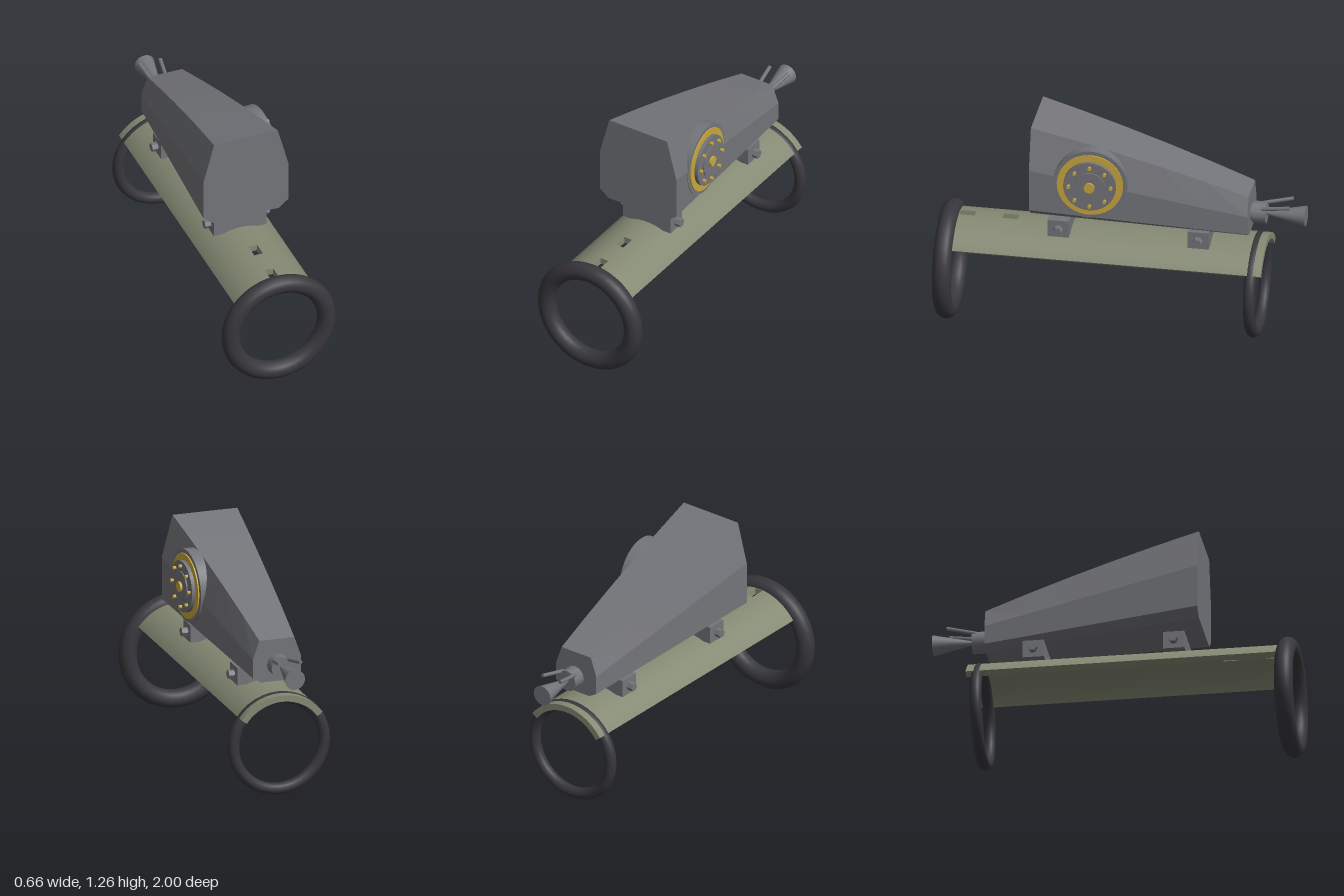
import * as THREE from 'three';

const mat = (name, color) => {
  const m = new THREE.MeshStandardMaterial({ color });
  m.name = name;
  return m;
};

export function createModel() {
  const model = new THREE.Group();
  const grey = mat('steel grey', 0x74757a);
  const dark = mat('dark rubber', 0x38373c);
  const olive = mat('olive metal', 0x848973);
  const gold = mat('brass', 0xc8a83e);

  const add = (name, geo, material, x = 0, y = 0, z = 0, parent = model) => {
    const mesh = new THREE.Mesh(geo, material);
    mesh.name = name;
    mesh.position.set(x, y, z);
    parent.add(mesh);
    return mesh;
  };

  // End rings
  const axisY = 0.335;
  add('frontRing', new THREE.TorusGeometry(0.277, 0.051, 14, 40), dark, 0, axisY, 0.949);
  add('rearRing', new THREE.TorusGeometry(0.259, 0.032, 14, 40), dark, 0, axisY, -0.732);

  // Curved trough between the rings, pieced around two slots on its crown
  const trough = new THREE.Group();
  trough.name = 'curvedTrough';
  trough.position.y = axisY;
  model.add(trough);
  const plate = (a0, a1, z0, z1) => {
    const s = new THREE.Shape();
    s.absarc(0, 0, 0.286, a0, a1, false);
    s.absarc(0, 0, 0.25, a1, a0, true);
    const g = new THREE.ExtrudeGeometry(s, { depth: z1 - z0, bevelEnabled: false, curveSegments: 12 });
    add('troughPlate', g, olive, 0, 0, z0, trough);
  };
  const edge = 0.63, half = 0.088, mid = Math.PI / 2;
  plate(edge, mid - half, -0.79, 0.95);
  plate(mid + half, Math.PI - edge, -0.79, 0.95);
  for (const [z0, z1] of [[-0.79, 0.575], [0.66, 0.81], [0.895, 0.95]]) plate(mid - half, mid + half, z0, z1);

  // Tapering eight-sided housing, slightly arched along its back
  const front = [[0.185, 1.27], [0.246, 1.04], [0.246, 0.80], [0.19, 0.755]];
  const rear = [[0.10, 0.915], [0.137, 0.81], [0.137, 0.705], [0.09, 0.677]];
  const steps = 5, loops = [];
  for (let i = 0; i <= steps; i++) {
    const t = i / steps;
    const side = front.map(([x, y], k) => [
      x + (rear[k][0] - x) * t,
      y + (rear[k][1] - y) * t + (k === 0 ? 0.06 * t * (1 - t) : 0),
    ]);
    const loop = [...side, ...side.map(([x, y]) => [-x, y]).reverse()];
    loops.push(loop.map(([x, y]) => [x, y, 0.475 - 1.177 * t]));
  }
  const pos = [];
  const tri = (a, b, c) => pos.push(...a, ...b, ...c);
  for (let i = 0; i < steps; i++) {
    for (let k = 0; k < 8; k++) {
      const n = (k + 1) % 8, A = loops[i], B = loops[i + 1];
      // Corners run clockwise seen from the front
      tri(A[k], A[n], B[n]);
      tri(A[k], B[n], B[k]);
    }
  }
  for (let k = 1; k < 7; k++) {
    tri(loops[0][0], loops[0][k + 1], loops[0][k]);
    tri(loops[steps][0], loops[steps][k], loops[steps][k + 1]);
  }
  const hull = new THREE.BufferGeometry();
  hull.setAttribute('position', new THREE.Float32BufferAttribute(pos, 3));
  hull.computeVertexNormals();
  add('housing', hull, grey);

  // Mounting blocks with a hexagonal bolt through each
  for (const z of [0.332, -0.434]) {
    add('mountBlock', new THREE.BoxGeometry(0.305, 0.098, 0.116), grey, 0, 0.651, z);
    const bolt = new THREE.CylinderGeometry(0.025, 0.025, 0.374, 6).toNonIndexed();
    bolt.computeVertexNormals();
    add('mountBolt', bolt, grey, 0, 0.65, z).rotation.z = Math.PI / 2;
  }

  // Round dial on the left flank, leaning with the taper
  const dial = new THREE.Group();
  dial.name = 'sideDial';
  dial.position.set(0, 0.975, 0.16);
  dial.rotation.y = 0.07;
  model.add(dial);
  const disc = (name, r, x0, x1, material, y = 0, z = 0, sides = 40) => {
    const g = new THREE.CylinderGeometry(r, r, x1 - x0, sides).rotateZ(-Math.PI / 2);
    add(name, g, material, (x0 + x1) / 2, y, z, dial);
  };
  disc('dialRim', 0.202, 0.15, 0.223, grey);
  disc('dialBand', 0.18, 0.2, 0.23, gold);
  disc('dialFace', 0.143, 0.2, 0.25, grey);
  disc('dialCentre', 0.085, 0.24, 0.257, grey);
  disc('dialHub', 0.029, 0.25, 0.27, gold, 0, 0, 20);
  for (let i = 0; i < 8; i++) {
    const a = (i * Math.PI) / 4;
    disc('dialStud', 0.01, 0.24, 0.266, gold, 0.115 * Math.cos(a), 0.115 * Math.sin(a), 10);
  }

  // Tail: neck, collar, flared cone and two splayed rods
  const along = (name, r0, r1, z0, z1, sides) => {
    const g = new THREE.CylinderGeometry(r1, r0, z0 - z1, sides).rotateX(-Math.PI / 2);
    add(name, g, grey, 0, 0.776, (z0 + z1) / 2);
  };
  along('tailNeck', 0.048, 0.048, -0.69, -0.75, 16);
  along('tailCollar', 0.06, 0.06, -0.712, -0.785, 12);
  along('tailCone', 0.008, 0.057, -0.77, -1.0, 20);
  for (const s of [-1, 1]) {
    const path = new THREE.LineCurve3(new THREE.Vector3(s * 0.038, 0.815, -0.76), new THREE.Vector3(s * 0.06, 0.845, -0.92));
    add('tailRod', new THREE.TubeGeometry(path, 1, 0.011, 8), grey);
    const cap = add('tailRodEnd', new THREE.CircleGeometry(0.011, 8), grey, s * 0.06, 0.845, -0.92);
    cap.rotation.y = Math.PI;
  }

  return model;
}
